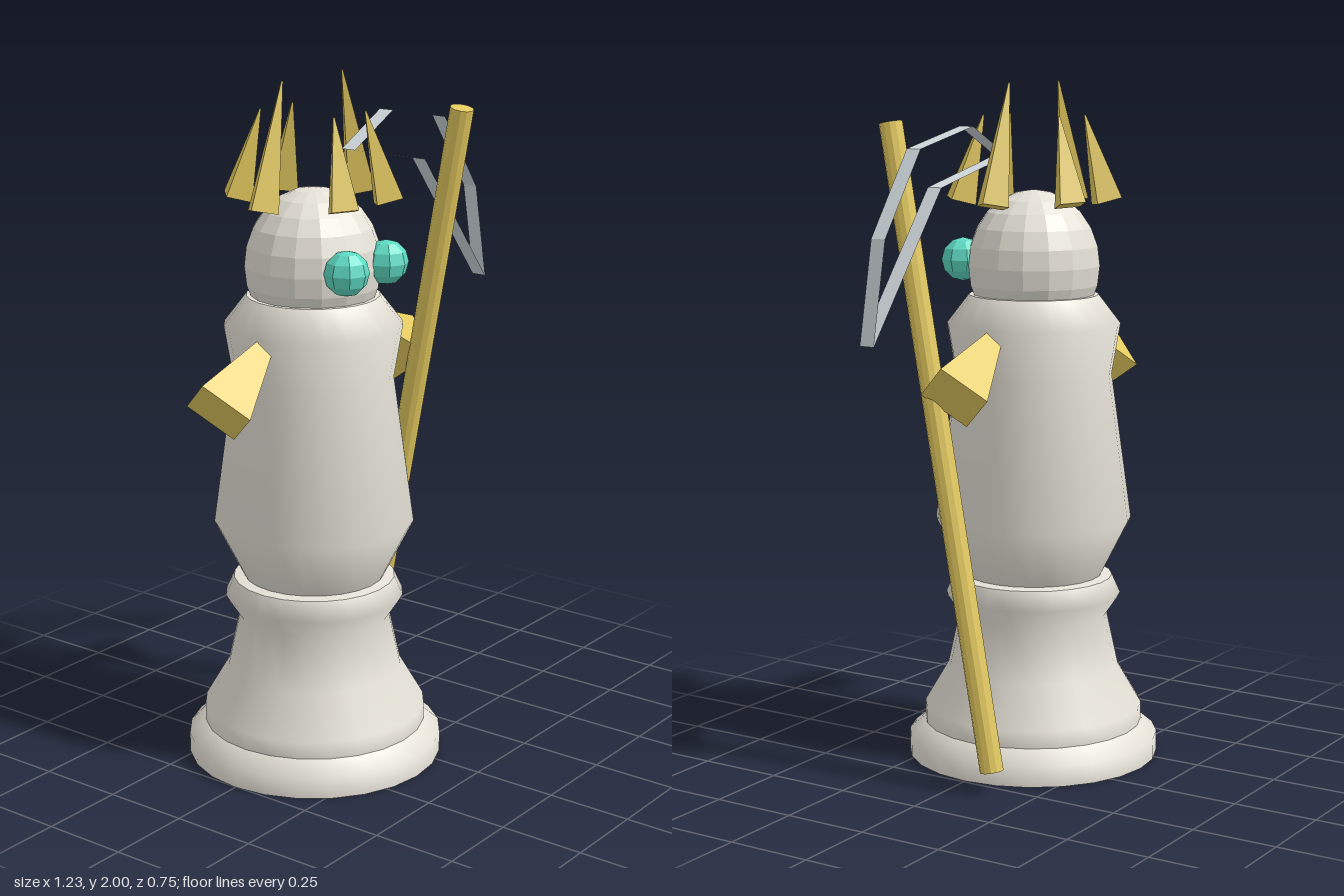
import * as THREE from 'three';

const AXIS = -0.13; // x of the figure's own centre line

export function createModel() {
  const model = new THREE.Group();
  const mat = (color, flatShading = false) =>
    new THREE.MeshStandardMaterial({ color, flatShading, side: THREE.DoubleSide });
  const stone = mat(0xe6e2d8), stoneFlat = mat(0xe6e2d8, true);
  const gold = mat(0xe3c95f, true), teal = mat(0x5fdcc4, true), steel = mat(0xd0d8dc, true);

  const add = (name, geometry, material) => {
    const mesh = new THREE.Mesh(geometry, material);
    mesh.name = name;
    model.add(mesh);
    return mesh;
  };

  // Tapered bar running between two points
  const bar = (name, from, to, rFrom, rTo, sides) => {
    const a = new THREE.Vector3(...from), b = new THREE.Vector3(...to);
    const dir = b.clone().sub(a);
    const mesh = add(name, new THREE.CylinderGeometry(rTo, rFrom, dir.length(), sides), gold);
    mesh.position.copy(a).add(b).multiplyScalar(0.5);
    mesh.quaternion.setFromUnitVectors(new THREE.Vector3(0, 1, 0), dir.normalize());
  };

  // Turned body, in sections that meet at sharp edges
  const turned = (name, profile) => {
    const points = profile.map(([r, y]) => new THREE.Vector2(r, y));
    add(name, new THREE.LatheGeometry(points, 24), stone).position.x = AXIS;
  };
  turned('baseUnderside', [[0, 0], [0.373, 0]]);
  turned('baseRim', [[0.373, 0], [0.373, 0.06], [0.325, 0.1]]);
  turned('pedestal', [[0.325, 0.1], [0.325, 0.15], [0.255, 0.27], [0.22, 0.43],
    [0.26, 0.49], [0.235, 0.545]]);
  turned('waistTop', [[0.235, 0.545], [0.2, 0.55]]);
  turned('torso', [[0.205, 0.55], [0.29, 0.72], [0.23, 1.15], [0.255, 1.3], [0.19, 1.385]]);
  turned('torsoTop', [[0.19, 1.385], [0, 1.385]]);

  // Head
  const head = add('head', new THREE.SphereGeometry(1, 16, 12), stoneFlat);
  head.scale.set(0.195, 0.22, 0.195);
  head.position.set(AXIS, 1.47, 0);

  // Paired parts, mirrored about the centre line
  for (const s of [-1, 1]) {
    const side = s > 0 ? 'left' : 'right';
    const eye = add(side + 'Eye', new THREE.SphereGeometry(0.064, 8, 6), teal);
    eye.position.set(AXIS + s * 0.092, 1.485, 0.187);

    bar(side + 'Arm', [AXIS + s * 0.423, 1.132, 0], [AXIS + s * 0.145, 1.329, 0], 0.112, 0.003, 4);
    bar(side + 'CrownSpike', [AXIS + s * 0.22, 1.653, 0], [AXIS + s * 0.135, 2, 0], 0.054, 0.003, 4);
    for (const f of [-1, 1]) {
      bar(side + (f > 0 ? 'Front' : 'Back') + 'CrownSpike',
        [AXIS + s * 0.103, 1.657, f * 0.185], [AXIS + s * 0.072, 1.905, f * 0.128], 0.053, 0.003, 4);
    }
  }

  // Leaning staff
  bar('staff', [0.292, 0.065, -0.124], [0.226, 1.89, 0.256], 0.034, 0.034, 12);

  // Scythe blade: an open band following the blade's outline
  const outline = [[-0.05, 1.79], [0.13, 1.88], [0.39, 1.828], [0.56, 1.595], [0.617, 1.31], [0.29, 1.717]];
  const positions = [];
  const z0 = 0.04, z1 = 0.086;
  outline.forEach(([ax, ay], i) => {
    const [bx, by] = outline[(i + 1) % outline.length];
    positions.push(ax, ay, z0, ax, ay, z1, bx, by, z1, ax, ay, z0, bx, by, z1, bx, by, z0);
  });
  const band = new THREE.BufferGeometry();
  band.setAttribute('position', new THREE.Float32BufferAttribute(positions, 3));
  band.computeVertexNormals();
  add('scytheBlade', band, steel);

  return model;
}
